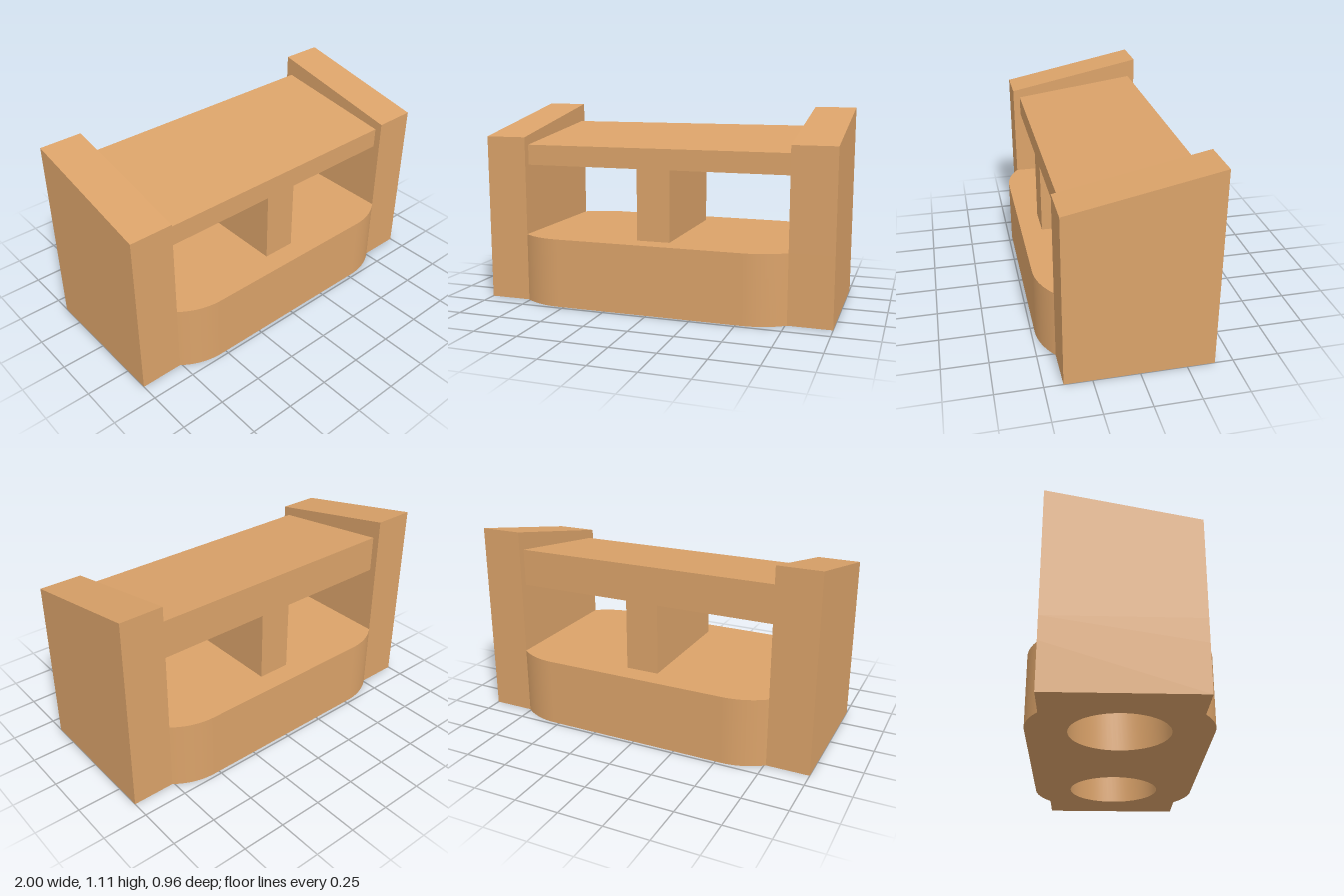
import * as THREE from 'three';
import { toCreasedNormals } from 'three/addons/utils/BufferGeometryUtils.js';

const END_X = 0.76, END_Z = 0.4, BULGE_Z = 0.48, STRAIGHT_X = 0.53;
const BASE_TOP = 0.39, HOLE_DEPTH = 0.26, PLATE_BOTTOM = 0.79;

export function createModel() {
  const model = new THREE.Group();
  const wood = new THREE.MeshStandardMaterial({ color: 0xdaa269 });
  wood.name = 'warm wood';

  function add(name, geometry) {
    const mesh = new THREE.Mesh(geometry, wood);
    mesh.name = name;
    model.add(mesh);
    return mesh;
  }

  // Footprint: square ends with a bulging front and back
  function footprint() {
    const dx = END_X - STRAIGHT_X, dz = BULGE_Z - END_Z;
    const r = (dx * dx + dz * dz) / (2 * dz);
    const sweep = Math.asin(dx / r), up = Math.PI / 2, cz = BULGE_Z - r;
    const s = new THREE.Shape();
    s.moveTo(1, -END_Z);
    s.lineTo(1, END_Z);
    s.lineTo(END_X, END_Z);
    s.absarc(STRAIGHT_X, cz, r, up - sweep, up);
    s.absarc(-STRAIGHT_X, cz, r, up, up + sweep);
    s.lineTo(-1, END_Z);
    s.lineTo(-1, -END_Z);
    s.lineTo(-END_X, -END_Z);
    s.absarc(-STRAIGHT_X, -cz, r, -up - sweep, -up);
    s.absarc(STRAIGHT_X, -cz, r, -up, -up + sweep);
    s.lineTo(1, -END_Z);
    return s;
  }

  function slab(shape, y0, y1) {
    const g = new THREE.ExtrudeGeometry(shape, { depth: y1 - y0, bevelEnabled: false, curveSegments: 32 });
    g.rotateX(-Math.PI / 2).translate(0, y0, 0);
    return toCreasedNormals(g, 0.4);
  }

  // Base: lower layer holds the two round recesses, upper layer closes them
  const lower = footprint();
  for (const x of [-0.5, 0.5]) {
    const hole = new THREE.Path();
    hole.absarc(x, 0, 0.265, 0, Math.PI * 2, true);
    lower.holes.push(hole);
  }
  add('baseLower', slab(lower, 0, HOLE_DEPTH));
  add('baseUpper', slab(footprint(), HOLE_DEPTH, BASE_TOP));

  // Block with a top sloping down to the front, running from x0 to x1
  function slopedBlock(x0, x1, halfZ, bottom, frontTop, backTop) {
    const s = new THREE.Shape([
      new THREE.Vector2(-halfZ, bottom), new THREE.Vector2(halfZ, bottom),
      new THREE.Vector2(halfZ, frontTop), new THREE.Vector2(-halfZ, backTop),
    ]);
    const g = new THREE.ExtrudeGeometry(s, { depth: x1 - x0, bevelEnabled: false });
    return g.rotateY(-Math.PI / 2).translate(x1, 0, 0);
  }

  // End walls, sloped top plate and central divider
  add('leftWall', slopedBlock(END_X, 1, END_Z, BASE_TOP, 0.95, 1.11));
  add('rightWall', slopedBlock(-1, -END_X, END_Z, BASE_TOP, 0.95, 1.11));
  add('topPlate', slopedBlock(-END_X, END_X, 0.36, PLATE_BOTTOM, 0.905, 1.0));
  const height = PLATE_BOTTOM - BASE_TOP;
  add('divider', new THREE.BoxGeometry(0.19, height, 0.72)).position.y = BASE_TOP + height / 2;

  return model;
}
